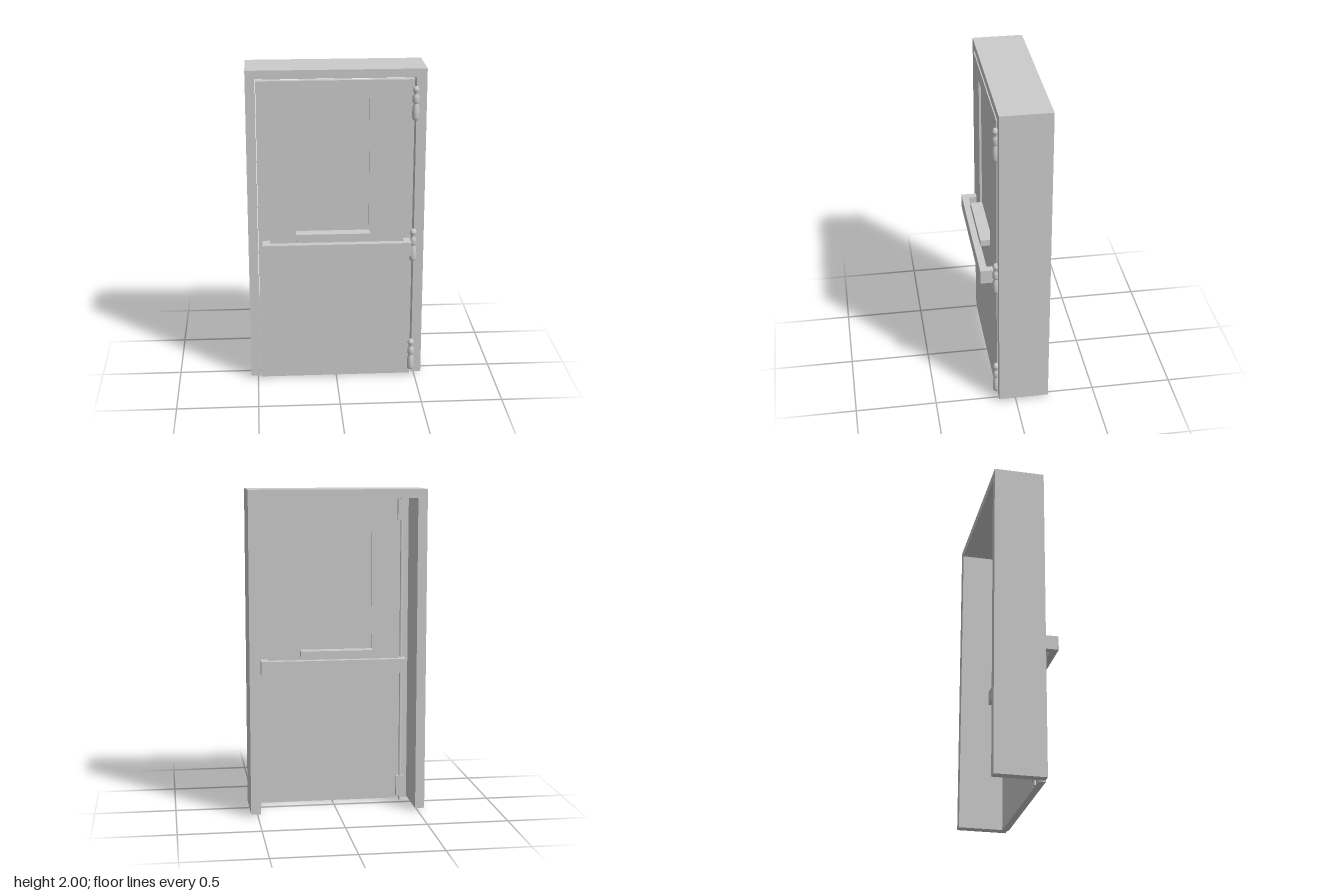
import * as THREE from 'three';

const DOOR_Z = 0.0885;   // middle plane of the door leaf
const DOOR_T = 0.041;    // thickness of the door leaf

export function createModel() {
  const model = new THREE.Group();
  model.name = 'door';
  const mat = new THREE.MeshStandardMaterial({ color: 0xcccccc });

  const add = (parent, name, geometry) => {
    const mesh = new THREE.Mesh(geometry, mat);
    mesh.name = name;
    parent.add(mesh);
    return mesh;
  };
  // Box given by its minimum and maximum corners
  const box = (parent, name, [x0, y0, z0], [x1, y1, z1]) => {
    const mesh = add(parent, name, new THREE.BoxGeometry(x1 - x0, y1 - y0, z1 - z0));
    mesh.position.set((x0 + x1) / 2, (y0 + y1) / 2, (z0 + z1) / 2);
    return mesh;
  };
  const polygon = (points, Type = THREE.Shape) =>
    new Type(points.map(([x, y]) => new THREE.Vector2(x, y)));
  const rect = (x0, y0, x1, y1, Type) => polygon([[x0, y0], [x1, y0], [x1, y1], [x0, y1]], Type);
  const extrude = (shape, depth) => new THREE.ExtrudeGeometry(shape, { depth, bevelEnabled: false });

  // Frame: deep surround, open at the floor
  const surround = polygon([
    [-0.543, 0.015], [-0.485, 0.015], [-0.485, 1.947], [0.481, 1.947],
    [0.481, 0.015], [0.543, 0.015], [0.543, 2], [-0.543, 2],
  ]);
  add(model, 'frame', extrude(surround, 0.31)).position.z = -0.205;

  // Door leaf with window opening and recessed pane
  const leaf = rect(-0.481, 0.009, 0.469, 1.937);
  leaf.holes.push(rect(-0.25, 0.95, 0.2, 1.846, THREE.Path));
  add(model, 'doorLeaf', extrude(leaf, DOOR_T)).position.z = DOOR_Z - DOOR_T / 2;
  box(model, 'windowPane', [-0.25, 0.95, DOOR_Z - 0.007], [0.2, 1.846, DOOR_Z + 0.007]);

  // Push bar and window ledge, the same on both faces
  const half = DOOR_T / 2;
  for (const [side, turn] of [['front', 1], ['back', -1]]) {
    const fittings = new THREE.Group();
    fittings.name = side + 'Fittings';
    fittings.position.z = DOOR_Z;

    // Plan outline of the bar: two arms and a rail, mirrored in z for the back
    const plan = polygon([
      [-0.456, half], [-0.41, half], [-0.41, 0.073], [0.41, 0.073],
      [0.41, half], [0.456, half], [0.456, 0.1165], [-0.456, 0.1165],
    ].map(([x, z]) => [x, -z * turn]));
    const bar = add(fittings, 'pushBar', extrude(plan, 0.088));
    bar.rotation.x = -Math.PI / 2;
    bar.position.y = 0.847;

    const ledge = box(fittings, 'windowLedge', [-0.25, 0.95, 0.007], [0.205, 0.99, 0.081]);
    ledge.position.z *= turn;
    model.add(fittings);
  }

  // Vertical latch rod on the back face, with a housing at each end
  const backZ = DOOR_Z - half;
  const latch = new THREE.Group();
  latch.name = 'latchRod';
  const rod = add(latch, 'rod', new THREE.CylinderGeometry(0.008, 0.008, 1.935, 16));
  rod.position.set(-0.435, 0.9675, backZ - 0.013);
  box(latch, 'bottomHousing', [-0.46, 0.03, backZ - 0.025], [-0.41, 0.16, backZ]);
  box(latch, 'topHousing', [-0.46, 1.8, backZ - 0.025], [-0.41, 1.93, backZ]);
  model.add(latch);

  // Turned hinge barrels with thin leaves in the gap
  const profile = [
    [0, 0], [0.012, 0], [0.018, 0.004], [0.021, 0.018], [0.022, 0.05], [0.019, 0.085],
    [0.013, 0.1], [0.015, 0.107], [0.021, 0.113], [0.021, 0.145], [0.015, 0.152],
    [0.013, 0.16], [0.015, 0.175], [0.02, 0.182], [0.02, 0.192], [0.014, 0.2],
    [0.013, 0.206], [0, 0.21],
  ].map(([r, y]) => new THREE.Vector2(r, y));
  for (const y of [0.039, 0.786, 1.688]) {
    const hinge = new THREE.Group();
    hinge.name = 'hinge';
    add(hinge, 'hingeBarrel', new THREE.LatheGeometry(profile, 24));
    box(hinge, 'hingeLeaf', [-0.007, 0.02, -0.043], [0.006, 0.19, 0]);
    hinge.position.set(0.476, y, 0.114);
    model.add(hinge);
  }

  return model;
}
